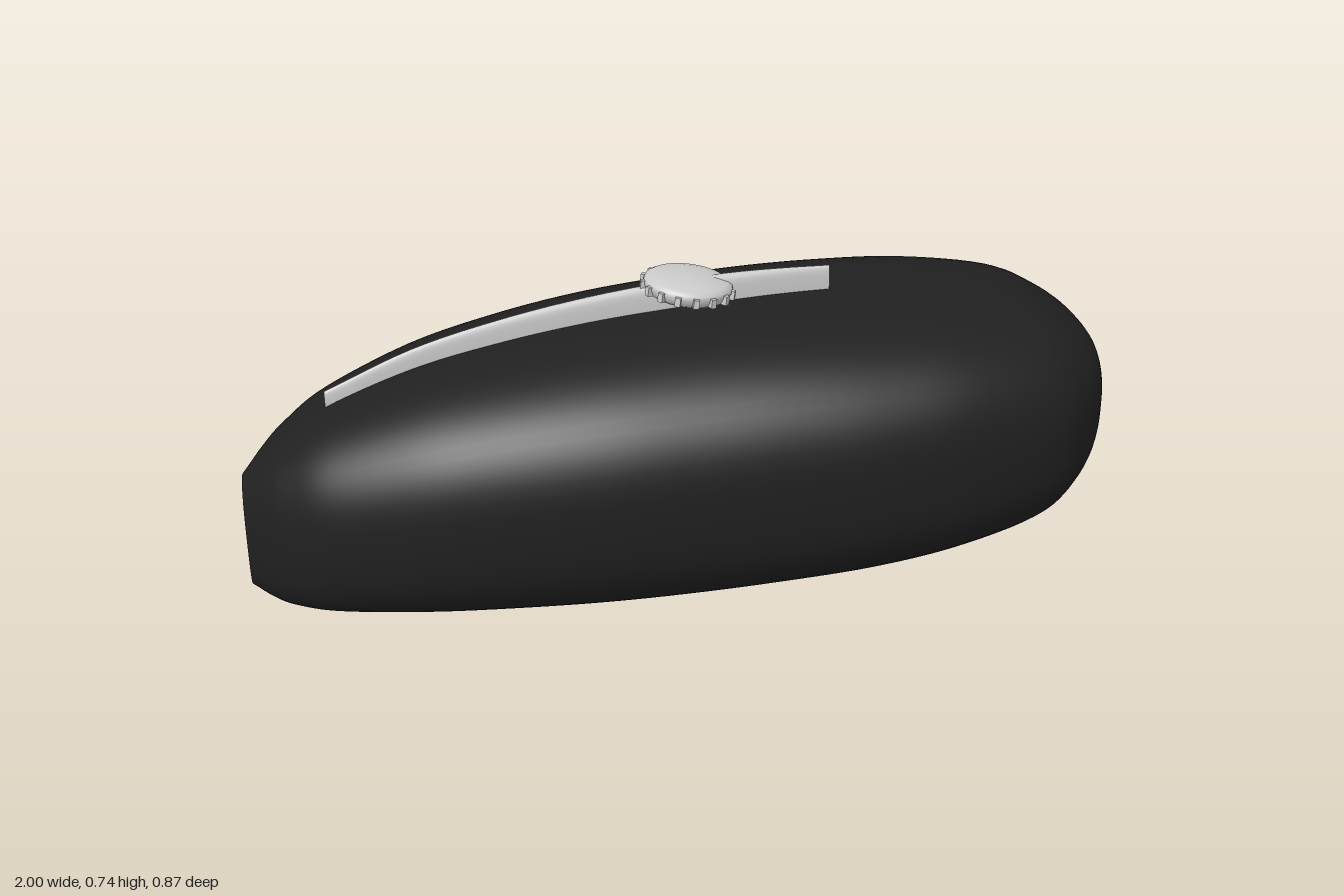
import * as THREE from 'three';

// Lofts rounded cross-sections along x. Each station is [x, bottom, top, halfWidth].
function loft(stations, exponent, steps, sides) {
  const heights = new THREE.CatmullRomCurve3(stations.map(s => new THREE.Vector3(s[0], s[1], s[2])), false, 'catmullrom');
  const widths = new THREE.CatmullRomCurve3(stations.map(s => new THREE.Vector3(s[0], s[3], 0)), false, 'catmullrom');
  const positions = [], index = [];
  const soften = v => Math.sign(v) * Math.pow(Math.abs(v), 2 / exponent);
  const ring = t => {
    const h = heights.getPoint(t), w = widths.getPoint(t).y;
    const middle = (h.y + h.z) / 2, half = (h.z - h.y) / 2;
    const start = positions.length / 3;
    for (let j = 0; j < sides; j++) {
      const a = j / sides * Math.PI * 2;
      positions.push(h.x, middle + half * soften(Math.sin(a)), w * soften(Math.cos(a)));
    }
    return { start, x: h.x, middle };
  };
  // Smooth skin
  for (let i = 0; i <= steps; i++) ring(i / steps);
  for (let i = 0; i < steps; i++) {
    for (let j = 0; j < sides; j++) {
      const k = (j + 1) % sides;
      const a = i * sides + j, b = a + sides, c = i * sides + k, d = c + sides;
      index.push(a, b, c, b, d, c);
    }
  }
  // Flat end caps with their own vertices
  for (const t of [0, 1]) {
    const { start, x, middle } = ring(t);
    const centre = positions.length / 3;
    positions.push(x, middle, 0);
    for (let j = 0; j < sides; j++) {
      const a = start + j, b = start + (j + 1) % sides;
      index.push(centre, t ? b : a, t ? a : b);
    }
  }
  const geometry = new THREE.BufferGeometry();
  geometry.setAttribute('position', new THREE.Float32BufferAttribute(positions, 3));
  geometry.setIndex(index);
  geometry.computeVertexNormals();
  return geometry;
}

export function createModel() {
  const model = new THREE.Group();
  const black = new THREE.MeshStandardMaterial({ color: 0x202020 });
  black.name = 'black';
  const silver = new THREE.MeshStandardMaterial({ color: 0xcccccc });
  silver.name = 'silver';
  const add = (parent, name, geometry, material) => {
    const mesh = new THREE.Mesh(geometry, material);
    mesh.name = name;
    parent.add(mesh);
    return mesh;
  };

  // Rounded tapering body
  add(model, 'body', loft([
    [-1, 0.04, 0.31, 0.07], [-0.95, 0.018, 0.365, 0.14], [-0.9, 0.007, 0.41, 0.192],
    [-0.8, 0.001, 0.475, 0.26], [-0.6, 0.003, 0.555, 0.335], [-0.4, 0.007, 0.605, 0.38],
    [-0.2, 0.012, 0.64, 0.41], [0, 0.02, 0.662, 0.425], [0.2, 0.033, 0.676, 0.434],
    [0.4, 0.05, 0.68, 0.435], [0.6, 0.079, 0.676, 0.417], [0.8, 0.125, 0.652, 0.365],
    [0.9, 0.18, 0.612, 0.295], [0.97, 0.255, 0.56, 0.2], [1, 0.355, 0.5, 0.095],
  ], 2.6, 84, 64), black);

  // Thin ridge along the top
  add(model, 'ridge', loft([
    [-0.8, 0.43, 0.51, 0.008], [-0.6, 0.51, 0.598, 0.01], [-0.4, 0.56, 0.655, 0.012],
    [-0.2, 0.6, 0.695, 0.014], [0, 0.62, 0.722, 0.015], [0.14, 0.64, 0.732, 0.015],
    [0.25, 0.65, 0.735, 0.012], [0.36, 0.65, 0.735, 0.009],
  ], 3.2, 42, 20), silver);

  // Domed dial, tilted with the body's slope
  const dial = new THREE.Group();
  dial.name = 'dial';
  dial.position.set(0.032, 0.712, 0);
  dial.rotation.z = -0.12;
  model.add(dial);
  const profile = [[0, -0.024], [0.085, -0.024], [0.097, -0.016], [0.103, 0], [0.1, 0.009],
    [0.09, 0.015], [0.065, 0.021], [0.035, 0.025], [0, 0.026]];
  add(dial, 'dialCap', new THREE.LatheGeometry(profile.map(p => new THREE.Vector2(...p)), 48), silver);

  // Grip ribs around the rim
  const count = 16;
  for (let i = 0; i < count; i++) {
    const a = i / count * Math.PI * 2;
    const rib = add(dial, 'gripRib', new THREE.BoxGeometry(0.016, 0.021, 0.013), silver);
    rib.position.set(Math.cos(a) * 0.102, -0.006, Math.sin(a) * 0.102);
    rib.rotation.y = -a;
  }
  return model;
}
